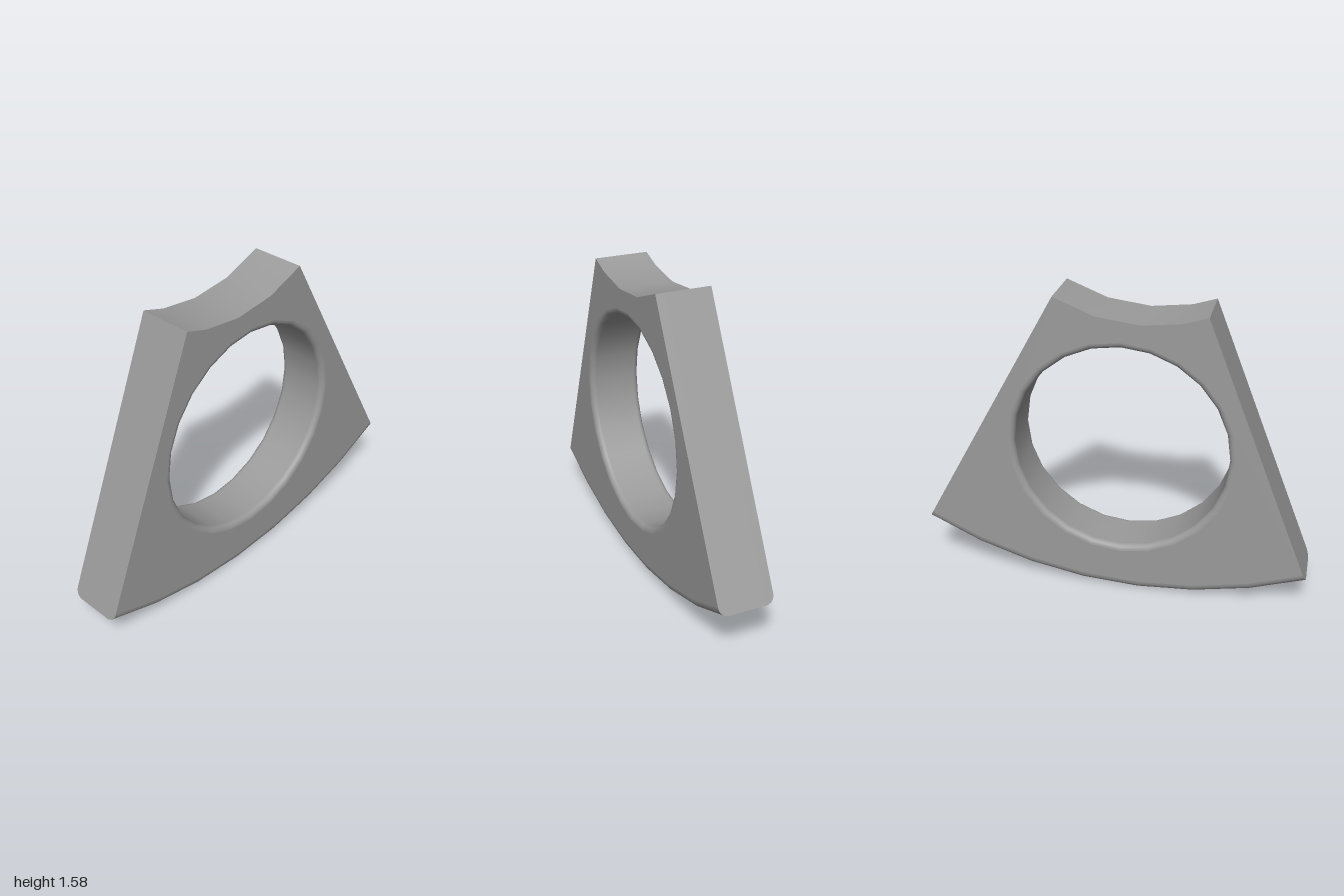
import * as THREE from 'three';

const HALF = 0.14;                       // half thickness
const CX = -0.139, CY = 2.345;           // shared centre of the two arcs
const R_OUT = 2.345, R_IN = 0.874;
const LEFT = -21.55, RIGHT = 28.95;      // sector limits in degrees from straight down
const FILLET = 0.045, HOLE_FILLET = 0.03;
const HOLE = { x: -0.04, y: 0.8, r: 0.546, sides: 24 };
const STEPS = 5;

const polar = (r, deg) => {
  const a = THREE.MathUtils.degToRad(deg);
  return new THREE.Vector2(CX + r * Math.sin(a), CY - r * Math.cos(a));
};

const outerAngles = Array.from({ length: 8 }, (_, i) => LEFT + (RIGHT - LEFT) * i / 7);
const innerAngles = [LEFT, -13.4, 0, 14.4, RIGHT];

// Rounded thickness profile from back to front: depth z and inset d
function roundedLayers(f) {
  const front = [];
  for (let i = 0; i <= STEPS; i++) {
    const a = (i / STEPS) * Math.PI / 2;
    front.push({ z: HALF - f + f * Math.sin(a), d: f * (1 - Math.cos(a)) });
  }
  const back = front.map(({ z, d }) => ({ z: -z, d })).reverse();
  return [...back, ...front];
}

// Surface through equal-length rows of points, ordered back to front
function loft(rows) {
  const cols = rows[0].length, index = [];
  for (let i = 0; i < rows.length - 1; i++) {
    for (let j = 0; j < cols - 1; j++) {
      const a = i * cols + j, b = a + 1, c = a + cols, d = c + 1;
      index.push(a, b, d, a, d, c);
    }
  }
  const g = new THREE.BufferGeometry().setFromPoints(rows.flat());
  g.setIndex(index);
  g.computeVertexNormals();
  return g;
}

// Flat face with the round opening
function faceGeometry(front) {
  const shape = new THREE.Shape([
    ...outerAngles.map(a => polar(R_OUT - FILLET, a)),
    ...innerAngles.map(a => polar(R_IN, a)).reverse(),
  ]);
  const ring = [];
  for (let i = 0; i < HOLE.sides; i++) {
    const a = -i / HOLE.sides * Math.PI * 2, r = HOLE.r + HOLE_FILLET;
    ring.push(new THREE.Vector2(HOLE.x + r * Math.cos(a), HOLE.y + r * Math.sin(a)));
  }
  shape.holes.push(new THREE.Path(ring));
  const g = new THREE.ShapeGeometry(shape);
  if (!front) g.index.array.reverse();
  g.translate(0, 0, front ? HALF : -HALF);
  g.computeVertexNormals();
  return g;
}

export function createModel() {
  const group = new THREE.Group();
  group.name = 'sectorPlate';
  const material = new THREE.MeshStandardMaterial({ color: 0x9b9b9b });
  const add = (name, geometry) => {
    const mesh = new THREE.Mesh(geometry, material);
    mesh.name = name;
    group.add(mesh);
  };
  const at = (p, z) => new THREE.Vector3(p.x, p.y, z);
  const layers = roundedLayers(FILLET);

  add('frontFace', faceGeometry(true));
  add('backFace', faceGeometry(false));

  // Convex bottom edge with rounded corners
  add('bottomEdge', loft(layers.map(({ z, d }) =>
    outerAngles.map(a => at(polar(R_OUT - d, a), z)))));

  // Concave top edge
  add('topEdge', loft([-HALF, HALF].map(z =>
    innerAngles.map(a => at(polar(R_IN, a), z)).reverse())));

  // Straight radial sides, following the rounded bottom
  const side = (angle, flip) => loft(layers.map(({ z, d }) => {
    const row = [at(polar(R_OUT - d, angle), z), at(polar(R_IN, angle), z)];
    return flip ? row.reverse() : row;
  }));
  add('leftSide', side(RIGHT, false));
  add('rightSide', side(LEFT, true));

  // Hole wall with rounded rims, facing inward
  const profile = roundedLayers(HOLE_FILLET).reverse()
    .map(({ z, d }) => new THREE.Vector2(HOLE.r + d, z));
  const wall = new THREE.LatheGeometry(profile, HOLE.sides);
  wall.rotateX(Math.PI / 2);
  wall.translate(HOLE.x, HOLE.y, 0);
  add('holeWall', wall);

  return group;
}
